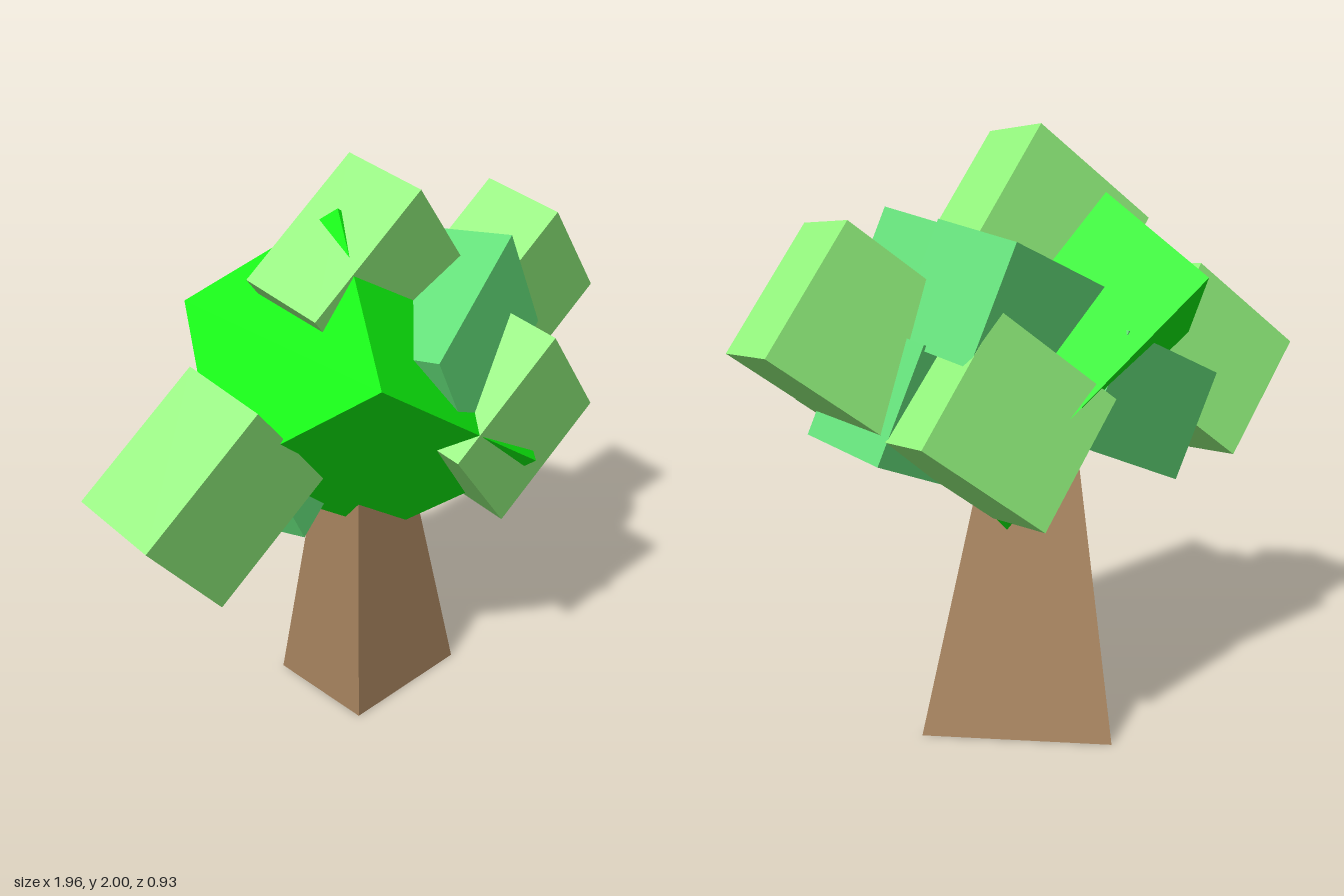
import * as THREE from 'three';
import { ConvexGeometry } from 'three/addons/geometries/ConvexGeometry.js';

const paint = (color) => new THREE.MeshStandardMaterial({ color, flatShading: true });

export function createModel() {
  const tree = new THREE.Group();
  tree.name = 'tree';

  const bark = paint(0xa8845f);
  const coreGreen = paint(0x0cf50c);
  const lightGreen = paint(0x94f67e);
  const midGreen = paint(0x64e07a);

  const add = (name, geometry, material, position = [0, 0, 0], rotation = [0, 0, 0], order = 'XYZ') => {
    const mesh = new THREE.Mesh(geometry, material);
    mesh.name = name;
    mesh.position.set(...position);
    mesh.rotation.set(...rotation, order);
    tree.add(mesh);
  };

  // Trunk: a slender three-sided spire with its tip above the front corner
  add('trunk', new ConvexGeometry([
    new THREE.Vector3(-0.08, 0, 0.06),
    new THREE.Vector3(0.41, 0, 0.06),
    new THREE.Vector3(-0.08, 0, -0.34),
    new THREE.Vector3(-0.08, 1.83, 0.06),
  ]), bark);

  // Crown core: a block standing on its edge, sloping down to the left
  add('crownCore', new THREE.BoxGeometry(0.88, 0.605, 0.605), coreGreen,
    [0.003, 1.285, 0], [Math.PI / 4, 0, -0.625], 'ZYX');

  // Light leaf blocks, all tilted alike
  const lightBlock = new THREE.BoxGeometry(0.49, 0.457, 0.295);
  const lightSpots = {
    rightLeafBlock: [-0.645, 1.17, 0],
    topLeafBlock: [-0.005, 1.65, 0],
    leftLeafBlock: [0.645, 1.41, 0],
    frontLeafBlock: [0.32, 1.165, 0.27],
    backLeafBlock: [0.32, 1.165, -0.28],
  };
  for (const [name, spot] of Object.entries(lightSpots)) {
    add(name, lightBlock, lightGreen, spot, [0.14, 0, 0.68]);
  }

  // Darker, longer leaf blocks filling the gaps
  const midBlock = new THREE.BoxGeometry(0.54, 0.376, 0.32);
  const midSpots = {
    upperFrontFoliage: [0.2, 1.44, 0.165],
    upperBackFoliage: [0.2, 1.44, -0.17],
    lowerRightFoliage: [-0.2, 1.14, -0.165],
    lowerLeftFoliage: [0.405, 1.14, 0.005],
  };
  for (const [name, spot] of Object.entries(midSpots)) {
    add(name, midBlock, midGreen, spot, [-0.114, 0.236, 0.454]);
  }

  return tree;
}
